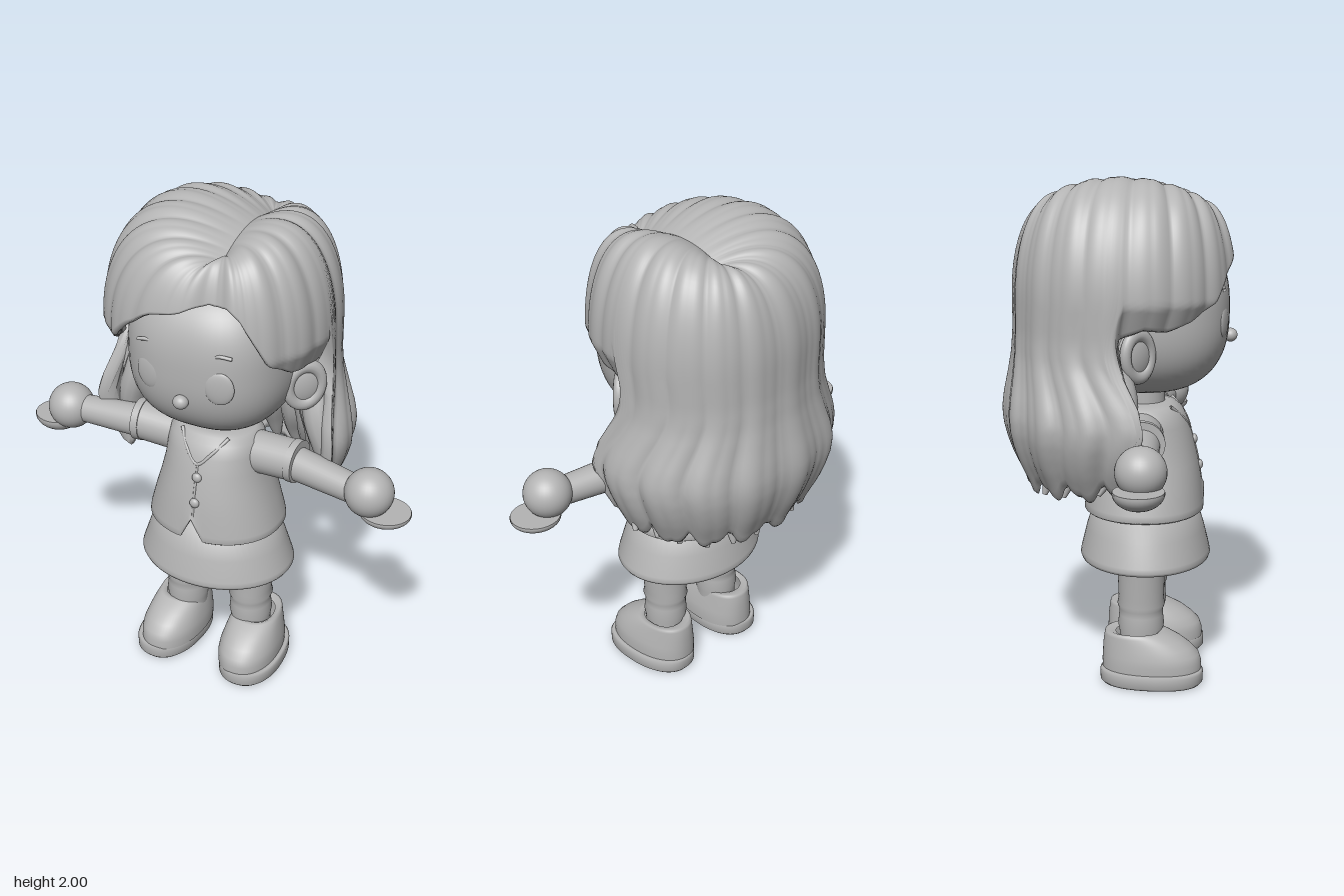
import * as THREE from 'three';

const clay = new THREE.MeshStandardMaterial({ color: 0xb4b4b4, side: THREE.DoubleSide });
clay.name = 'clay grey';

// Closed grid surface: rows run upward, columns run round from +z towards +x
function surface(rows, cols, fn) {
  const pos = [], idx = [];
  for (let i = 0; i < rows; i++) {
    for (let j = 0; j < cols; j++) pos.push(...fn(i, (j / cols) * Math.PI * 2 - Math.PI));
  }
  for (let i = 0; i < rows - 1; i++) {
    for (let j = 0; j < cols; j++) {
      const k = (j + 1) % cols;
      const a = i * cols + j, b = i * cols + k, c = a + cols, d = b + cols;
      idx.push(a, b, c, b, d, c);
    }
  }
  const g = new THREE.BufferGeometry();
  g.setAttribute('position', new THREE.Float32BufferAttribute(pos, 3));
  g.setIndex(idx);
  g.computeVertexNormals();
  return g;
}

// Rounded unit vector for superellipse sections
const round = (v, p) => Math.sign(v) * Math.abs(v) ** (2 / p);

// Loft through horizontal rings [y, rx, rz, cz]
function loft(rings, p = 2, cols = 64) {
  return surface(rings.length, cols, (i, t) => {
    const [y, rx, rz, cz = 0] = rings[i];
    return [rx * round(Math.sin(t), p), y, cz + rz * round(Math.cos(t), p)];
  });
}

// Linear interpolation through a table of [key, value]
function table(points, k) {
  for (let i = 1; i < points.length; i++) {
    const [k0, v0] = points[i - 1], [k1, v1] = points[i];
    if (k <= k1) return v0 + (v1 - v0) * Math.max(0, (k - k0) / (k1 - k0));
  }
  return points[points.length - 1][1];
}

// How far the hair reaches (1 = widest level, 2.2 = tips) by angle in degrees
const REACH = [[-180, 2.22], [-94, 2.15], [-87, 1.2], [-75, 1.14], [-62, 1.16], [-50, 1.11], [-38, 1.01], [-26, 0.89],
  [-12, 0.77], [0, 0.71], [13, 0.67], [24, 0.69], [32, 0.75], [39, 0.88], [47, 1.02], [62, 1.14], [87, 1.17], [94, 2.15], [180, 2.22]];
// Width of the hanging hair by height
const WIDTH = [[0.75, 0.84], [0.82, 0.89], [0.92, 1.0], [0.98, 1.05], [1.04, 1.085], [1.1, 1.095], [1.16, 1.08],
  [1.24, 1.045], [1.32, 1.015], [1.42, 1.0], [1.55, 1]];

function hairGeometry() {
  const N = 52;
  // inside lining rows, [reach factor, scale]
  const lining = [[0.55, 0.86], [0.8, 0.88], [0.93, 0.9], [0.99, 0.93], [1.01, 0.97]];
  return surface(N + lining.length, 288, (i, t) => {
    const inner = i < lining.length;
    const f = inner ? lining[i][0] : 1 - (i - lining.length) / (N - 1);
    const lock = Math.abs(Math.sin(t * 9 + 0.6)) * 0.75 + Math.abs(Math.sin(t * 17)) * 0.25;
    let end = table(REACH, THREE.MathUtils.radToDeg(t));
    const fringe = end < 1.25;
    if (end > 2) end += 0.14 * (lock - 0.6);
    const q = f * end;
    const phi = Math.min(q, 1) * Math.PI / 2;
    const low = Math.max(0, q - 1);
    const s = THREE.MathUtils.smoothstep(low, 0.25, 0.8);
    const a = t - Math.sign(t) * 0.2 * s * Math.abs(Math.sin(t)) + 0.03 * Math.sin(low * 7) * Math.sin(t);
    // outline at the widest level, notched where the fringe parts
    const notch = 1 - 0.12 * Math.exp(-(((t - 0.26) / 0.22) ** 2));
    const ex = (Math.sin(a) < 0 ? 0.465 : 0.43) * round(Math.sin(a), 2.15);
    const ez = (Math.cos(a) < 0 ? 0.42 : 0.455 * notch) * round(Math.cos(a), 2.15);
    // the parting is an arched line the locks flow out from
    const k = Math.sin(phi);
    const pz = 0.03 + ez * 0.5;
    const crown = 0.385 - 1.2 * (pz - 0.02) ** 2;
    const side = Math.abs(Math.sin(t));
    const bulge = Math.sin(t) < 0 ? 0.05 + 0.075 * side : 0.05 + 0.03 * side;
    let y = 1.55 + crown * Math.cos(phi) + bulge * Math.sin(2 * phi);
    y += 0.018 * (lock - 0.7) * Math.sin(2 * phi) - low * 0.6;
    const w = fringe ? 1 - 0.6 * low : low > 0 ? table(WIDTH, y) : 1;
    const ridge = 1 + (0.026 + 0.03 * s) * (lock - 0.7) * Math.min(1, q * 1.6);
    const m = w * ridge * (inner ? lining[i][1] : 1);
    return [(0.1 * (1 - k) + ex * k) * m * (1 + 0.06 * s), y, (pz * (1 - k) + ez * k) * m];
  });
}

export function createModel() {
  const model = new THREE.Group();
  model.name = 'girlFigure';
  const add = (name, geo, x = 0, y = 0, z = 0, parent = model) => {
    const mesh = new THREE.Mesh(geo, clay);
    mesh.name = name;
    mesh.position.set(x, y, z);
    parent.add(mesh);
    return mesh;
  };
  const ball = (name, x, y, z, rx, ry = rx, rz = rx, parent = model) => {
    const m = add(name, new THREE.SphereGeometry(1, 32, 24), x, y, z, parent);
    m.scale.set(rx, ry, rz);
    return m;
  };
  const tube = (name, pts, r, parent = model) => add(name, new THREE.TubeGeometry(
    new THREE.CatmullRomCurve3(pts.map((p) => new THREE.Vector3(...p))), 24, r, 10), 0, 0, 0, parent);

  // Head: a sphere squared off a little
  const headGeo = new THREE.SphereGeometry(1, 64, 48);
  const hp = headGeo.attributes.position, v = new THREE.Vector3();
  for (let i = 0; i < hp.count; i++) {
    v.fromBufferAttribute(hp, i);
    const n = (Math.abs(v.x) ** 2.6 + Math.abs(v.y) ** 2.6 + Math.abs(v.z) ** 2.6) ** (-1 / 2.6);
    v.multiplyScalar(n);
    hp.setXYZ(i, v.x * 0.322, v.y * 0.325, v.z * 0.345);
  }
  headGeo.computeVertexNormals();
  add('head', headGeo, 0.01, 1.48, 0.08);
  ball('nose', 0.02, 1.375, 0.43, 0.03, 0.027, 0.027);
  add('neck', new THREE.CylinderGeometry(0.085, 0.085, 0.18, 32), 0, 1.13, 0.09);
  add('hair', hairGeometry());

  for (const s of [-1, 1]) {
    // Face details
    const ex = 0.02 + s * 0.143;
    ball('eye', ex, 1.452, 0.401, 0.056, 0.066, 0.014).rotation.y = s * 0.22;
    tube('eyebrow', [[ex - 0.045, 1.57 - s * 0.008, 0.395 - s * 0.006], [ex, 1.582, 0.398],
      [ex + 0.045, 1.57 + s * 0.008, 0.395 - s * 0.006]], 0.007);

    // Ears: dish with a rolled rim
    const ear = new THREE.Group();
    ear.name = 'ear';
    ear.position.set(0.005 + s * 0.35, 1.355, 0.08);
    ear.rotation.set(0, s * 0.75, -s * 0.12);
    model.add(ear);
    ball('earDish', 0, 0, -0.015, 0.08, 0.095, 0.04, ear);
    add('earRim', new THREE.TorusGeometry(0.064, 0.022, 12, 36), 0, 0, 0.005, ear).scale.set(1, 1.25, 1);

    // Inner locks hanging beside and behind the neck
    for (const [x, z, b] of [[0.42, 0.01, 0.84], [0.37, -0.06, 0.82], [0.32, -0.13, 0.8],
      [0.25, -0.21, 0.79], [0.16, -0.26, 0.79], [0.055, -0.28, 0.79]]) {
      const path = new THREE.CatmullRomCurve3([[x * 0.85, 1.34, z - 0.03], [x * 0.93, 1.2, z + 0.02],
        [x * 1.03, 1.04, z + 0.01], [x * 0.96, 0.9, z - 0.04], [x * 1.02, b, z - 0.07]]
        .map((p) => new THREE.Vector3(p[0] * s, p[1], p[2])));
      const geo = new THREE.TubeGeometry(path, 24, 0.055, 12);
      const gp = geo.attributes.position;
      for (let i = 0; i < gp.count; i++) {
        const u = Math.floor(i / 13) / 24, c = path.getPointAt(u);
        v.fromBufferAttribute(gp, i).sub(c).multiplyScalar(1.02 - u ** 4 * 0.85).add(c);
        gp.setXYZ(i, v.x, v.y, v.z);
      }
      geo.computeVertexNormals();
      add('innerLock', geo);
    }

    // Arms: sleeve, forearm, ball hand and cupped fingers
    const hz = s > 0 ? 0.165 : 0.11, hy = s > 0 ? 1.015 : 1.0;
    const limb = (name, r0, r1, x0, x1, y0, y1, z0, z1) => {
      const a = new THREE.Vector3(s * x0, y0, z0), b = new THREE.Vector3(s * x1, y1, z1);
      const d = b.clone().sub(a);
      const m = add(name, new THREE.CylinderGeometry(r1, r0, d.length(), 32));
      m.position.copy(a).addScaledVector(d, 0.5);
      m.quaternion.setFromUnitVectors(new THREE.Vector3(0, 1, 0), d.normalize());
    };
    limb('sleeve', 0.085, 0.082, 0.15, 0.33, 1.01, 1.02, 0.09, 0.1);
    limb('sleeveHem', 0.086, 0.086, 0.325, 0.355, 1.02, 1.02, 0.1, 0.102);
    limb('forearm', 0.068, 0.054, 0.34, 0.66, 1.01, 1.0, 0.1, hz);
    ball('hand', s * 0.668, hy, hz, 0.095);
    const cup = add('fingers', new THREE.SphereGeometry(1, 32, 12, 0, Math.PI * 2, Math.PI / 2, Math.PI / 2),
      s * 0.735, 0.945, hz - 0.005);
    cup.scale.set(0.1, s > 0 ? 0.045 : 0.065, 0.095);
    const palm = add('palm', new THREE.CylinderGeometry(1, 1, 1, 32), s * 0.735, 0.945, hz - 0.005);
    palm.scale.set(0.098, 0.008, 0.093);

    // Legs with sock folds
    const leg = add('leg', loft([[0.12, 0.08, 0.085], [0.2, 0.082, 0.086], [0.23, 0.088, 0.092], [0.27, 0.084, 0.088],
      [0.295, 0.084, 0.088], [0.315, 0.091, 0.095], [0.34, 0.086, 0.09], [0.45, 0.101, 0.094], [0.62, 0.108, 0.1]]),
    s * 0.15, 0, 0.09);
    leg.rotation.z = s * 0.01;

    // Shoes, toes turned slightly out
    const shoe = new THREE.Group();
    shoe.name = 'shoe';
    shoe.position.set(s * 0.18, 0, 0);
    shoe.rotation.y = s * 0.06;
    model.add(shoe);
    add('sole', loft([[0, 0, 0, 0.135], [0, 0.115, 0.195, 0.135], [0.012, 0.128, 0.205, 0.135], [0.05, 0.129, 0.206, 0.135],
      [0.06, 0.122, 0.2, 0.135], [0.06, 0, 0, 0.135]], 2.3), 0, 0, 0, shoe);
    add('shoeUpper', loft([[0.055, 0.122, 0.198, 0.135], [0.09, 0.123, 0.198, 0.134], [0.12, 0.119, 0.192, 0.13],
      [0.15, 0.112, 0.177, 0.116], [0.178, 0.105, 0.156, 0.098], [0.198, 0.099, 0.135, 0.08], [0.21, 0.095, 0.12, 0.068],
      [0.215, 0.088, 0.108, 0.067], [0.205, 0.07, 0.085, 0.075]], 2.2), -s * 0.012, 0, 0, shoe);
  }

  // Hollow flared skirt
  add('skirt', loft([[0.62, 0, 0], [0.62, 0.22, 0.18], [0.5, 0.285, 0.23], [0.48, 0.3, 0.245], [0.48, 0.316, 0.258],
    [0.492, 0.323, 0.262], [0.51, 0.318, 0.259], [0.6, 0.287, 0.237], [0.72, 0.24, 0.2], [0.76, 0, 0]]), 0, 0, 0.1);

  // Vest with a notched front hem
  const vestGeo = loft([[0.72, 0.235, 0.195], [0.69, 0.255, 0.215], [0.678, 0.268, 0.232], [0.685, 0.277, 0.24],
    [0.71, 0.273, 0.237], [0.8, 0.248, 0.228], [0.88, 0.224, 0.214], [0.96, 0.204, 0.195], [1.03, 0.196, 0.175],
    [1.08, 0.186, 0.152], [1.105, 0.155, 0.125], [1.115, 0.1, 0.1], [1.115, 0, 0]], 2.15, 160);
  const vp = vestGeo.attributes.position;
  for (let i = 0; i < vp.count; i++) {
    v.fromBufferAttribute(vp, i);
    if (v.z > 0 && v.y < 0.79) vp.setY(i, v.y + Math.max(0, 1 - Math.abs(v.x) / 0.05) * (0.79 - v.y) * 0.9);
  }
  vestGeo.computeVertexNormals();
  add('vest', vestGeo, 0, 0, 0.095);
  tube('neckline', [[-0.1, 1.108, 0.2], [-0.055, 1.055, 0.25], [0, 1.005, 0.274], [0.055, 1.055, 0.25], [0.1, 1.108, 0.2]], 0.007);
  tube('frontSeam', [[0.004, 1.0, 0.276], [0.004, 0.9, 0.304], [0.004, 0.79, 0.322]], 0.005);
  for (const [y, z] of [[0.955, 0.292], [0.85, 0.315]]) ball('button', 0.008, y, z, 0.02, 0.02, 0.014);

  return model;
}
